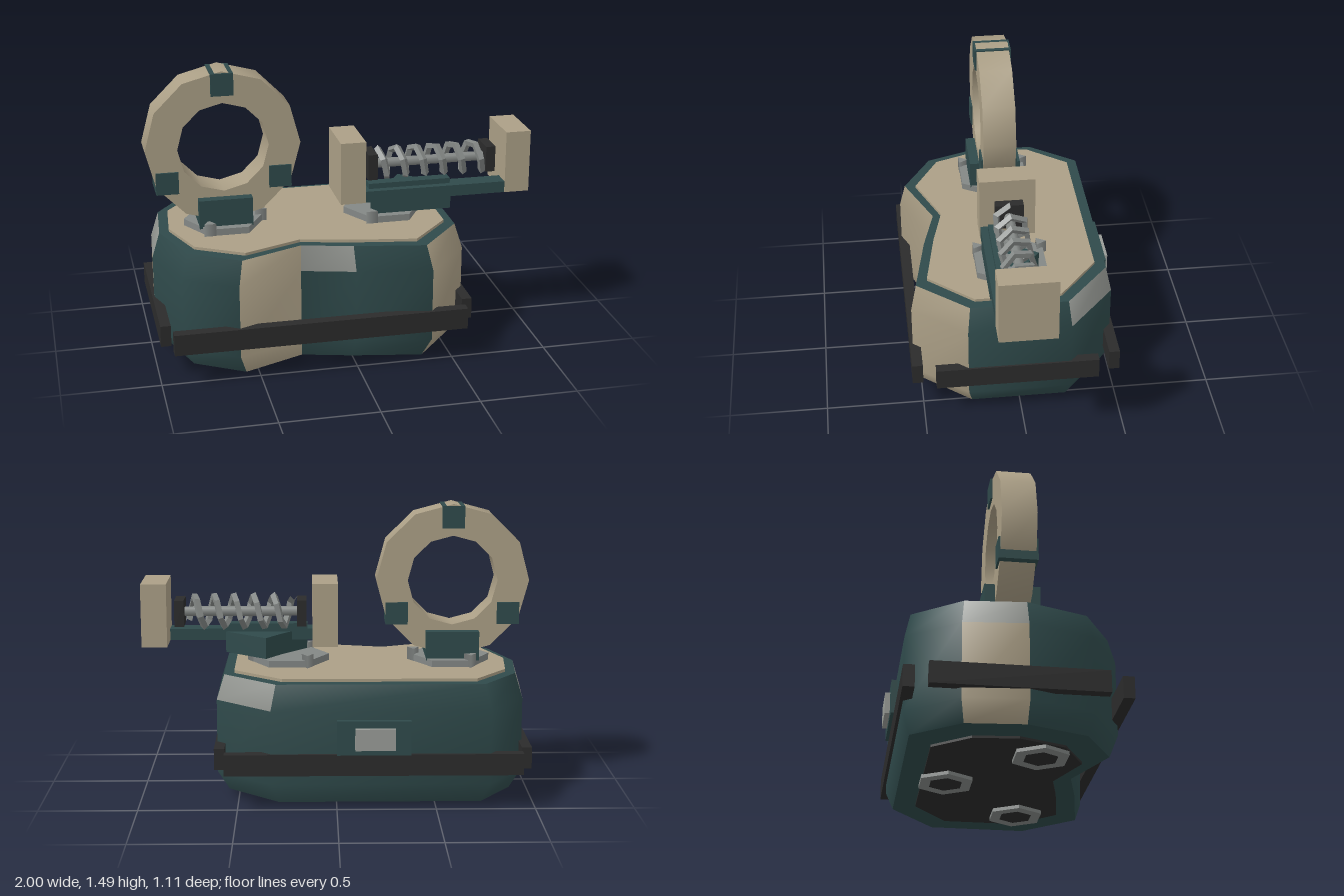
import * as THREE from 'three';
import { toCreasedNormals } from 'three/addons/utils/BufferGeometryUtils.js';

const mat = (name, color, extra = {}) => {
  const m = new THREE.MeshStandardMaterial({ color, ...extra });
  m.name = name;
  return m;
};

export function createModel() {
  const beige = mat('beige', 0xab9f86);
  const teal = mat('dark teal', 0x2f4a4b);
  const black = mat('black', 0x2b2b2b);
  const steel = mat('steel grey', 0x838785);
  const pale = mat('pale grey', 0x999c97);
  const steelFacet = mat('spring steel', 0x838785, { flatShading: true });

  const model = new THREE.Group();
  const add = (name, geometry, material) => {
    const mesh = new THREE.Mesh(geometry, material);
    mesh.name = name;
    model.add(mesh);
    return mesh;
  };
  // box given by its limits on each axis
  const box = (name, material, [x0, x1], [y0, y1], [z0, z1]) =>
    add(name, new THREE.BoxGeometry(x1 - x0, y1 - y0, z1 - z0), material)
      .position.set((x0 + x1) / 2, (y0 + y1) / 2, (z0 + z1) / 2);
  // upright prism from a plan outline of [x, z] points
  const prism = (name, material, plan, y0, y1, hole) => {
    const toShape = (pts) => pts.map(([x, z]) => new THREE.Vector2(x, -z));
    const shape = new THREE.Shape(toShape(plan));
    if (hole) shape.holes.push(new THREE.Path(toShape(hole)));
    const geo = new THREE.ExtrudeGeometry(shape, { depth: y1 - y0, bevelEnabled: false });
    geo.rotateX(-Math.PI / 2).translate(0, y0, 0);
    return add(name, geo, material);
  };
  const polygon = (n, r, cx = 0, cz = 0) => Array.from({ length: n }, (_, i) => {
    const a = (i / n) * Math.PI * 2;
    return [cx + r * Math.cos(a), cz + r * Math.sin(a)];
  });

  // plan outline of the body at its widest
  const outline = [
    [-0.605, 0.54], [-0.27, 0.4], [0, 0.47], [0.38, 0.54], [0.61, 0.27], [0.61, -0.255],
    [0.33, -0.5], [-0.77, -0.5], [-0.955, -0.25], [-0.98, 0.06], [-0.87, 0.38],
  ];
  const CX = -0.185;
  const scaled = (sx, sz) => outline.map(([x, z]) => [CX + (x - CX) * sx, z * sz]);

  // body walls: four smooth rings, coloured panel by panel
  const rings = [[0.03, 0.925, 0.93], [0.13, 1, 1], [0.51, 1, 1], [0.64, 0.95, 0.945]];
  const positions = [], index = [];
  const walls = new THREE.BufferGeometry();
  const n = outline.length;
  for (const [y, sx, sz] of rings) for (const [x, z] of scaled(sx, sz)) positions.push(x, y, z);
  const beigePanels = [0, 3, 8], palePatches = [1, 5, 8];
  for (let j = 0; j < 3; j++) {
    for (let i = 0; i < n; i++) {
      const a = j * n + i, b = j * n + ((i + 1) % n);
      const m = j === 2 && palePatches.includes(i) ? 2 : beigePanels.includes(i) ? 1 : 0;
      walls.addGroup(index.length, 6, m);
      index.push(a, b, b + n, a, b + n, a + n);
    }
  }
  walls.setAttribute('position', new THREE.Float32BufferAttribute(positions, 3));
  walls.setIndex(index);
  walls.computeVertexNormals();
  add('bodyWalls', walls, [teal, beige, pale]);
  prism('bodyTop', teal, scaled(0.95, 0.945), 0.632, 0.64);
  prism('bodyBottom', teal, scaled(0.925, 0.93), 0.03, 0.038);
  prism('topPlate', beige, scaled(0.887, 0.835), 0.64, 0.655);
  prism('bottomPlate', black, scaled(0.745, 0.71), 0.018, 0.03);

  // hexagonal feet
  for (const [x, z] of [[0.25, 0.17], [-0.185, -0.24], [-0.58, 0.17]])
    prism('foot', steel, polygon(6, 0.145, x, z), 0, 0.02, polygon(6, 0.088, x, z));

  // bumper bars
  const barY = [0.18, 0.29];
  box('frontBumper', black, [-0.935, 0.565], barY, [0.5, 0.555]);
  box('backBumper', black, [-0.935, 0.565], barY, [-0.515, -0.46]);
  box('rightBumper', black, [-0.99, -0.938], barY, [-0.4, 0.435]);
  box('leftBumper', black, [0.567, 0.62], barY, [-0.4, 0.435]);

  // panel on the back
  box('backPanel', teal, [-0.37, 0], [0.29, 0.465], [-0.53, -0.48]);
  box('backPanelInset', pale, [-0.29, -0.09], [0.32, 0.43], [-0.555, -0.52]);

  // hexagonal turntables with three triangular clips
  const midZ = 0.017;
  for (const x of [-0.6, 0.24]) {
    prism('turntable', steel, polygon(6, 0.207, x, midZ), 0.65, 0.69);
    for (const [cx, cz] of polygon(3, 0.19, x, midZ)) {
      const clip = add('turntableClip', new THREE.CylinderGeometry(0.035, 0.035, 0.07, 3), steel);
      clip.position.set(cx, 0.685, cz);
      clip.rotation.y = Math.PI;
    }
  }

  // upright ring in its cradle
  const ringX = -0.605, ringY = 1.092;
  box('ringCradle', teal, [-0.742, -0.468], [0.68, 0.83], [midZ - 0.137, midZ + 0.137]);
  const ringPoints = (r) => polygon(12, r).map(([x, y]) => new THREE.Vector2(x, y));
  const ringShape = new THREE.Shape(ringPoints(0.395));
  ringShape.holes.push(new THREE.Path(ringPoints(0.232)));
  const ringGeo = new THREE.ExtrudeGeometry(ringShape, { depth: 0.172, bevelEnabled: false });
  add('ring', toCreasedNormals(ringGeo, 0.6), beige).position.set(ringX, ringY, midZ - 0.086);
  for (const deg of [90, 210, 330]) {
    const a = THREE.MathUtils.degToRad(deg);
    add('ringClamp', new THREE.BoxGeometry(0.115, 0.115, 0.192), teal)
      .position.set(ringX + 0.333 * Math.cos(a), ringY - 0.005 + 0.333 * Math.sin(a), midZ);
  }

  // spring press: bracket, rail and end blocks
  prism('pressBracket', teal,
    [[0.145, 0.155], [0.575, 0.155], [0.575, 0.06], [0.36, -0.115], [0.28, 0]], 0.69, 0.8);
  box('pressRail', teal, [0.12, 0.87], [0.755, 0.815], [0.06, 0.157]);
  box('railRidge', teal, [0.145, 0.58], [0.815, 0.843], [0.06, 0.12]);
  for (const x of [-0.012, 0.868])
    box('endBlock', beige, [x, x + 0.132], [0.755, 1.085], [-0.127, 0.16]);

  // spring on its rod between two black stops
  const springY = 0.918;
  for (const x of [0.15, 0.785])
    box('springStop', black, [x, x + 0.05], [0.85, 0.987], [midZ - 0.075, midZ + 0.07]);
  const rod = add('springRod', new THREE.CylinderGeometry(0.026, 0.026, 0.6, 8), steel);
  rod.rotation.z = Math.PI / 2;
  rod.position.set(0.49, springY, midZ);

  class Helix extends THREE.Curve {
    getPoint(t, target = new THREE.Vector3()) {
      const a = t * 5.4 * Math.PI * 2;
      return target.set(0.215 + 0.555 * t, springY + 0.08 * Math.cos(a), midZ + 0.08 * Math.sin(a));
    }
  }
  add('spring', new THREE.TubeGeometry(new Helix(), 32, 0.02, 4), steelFacet);

  return model;
}
